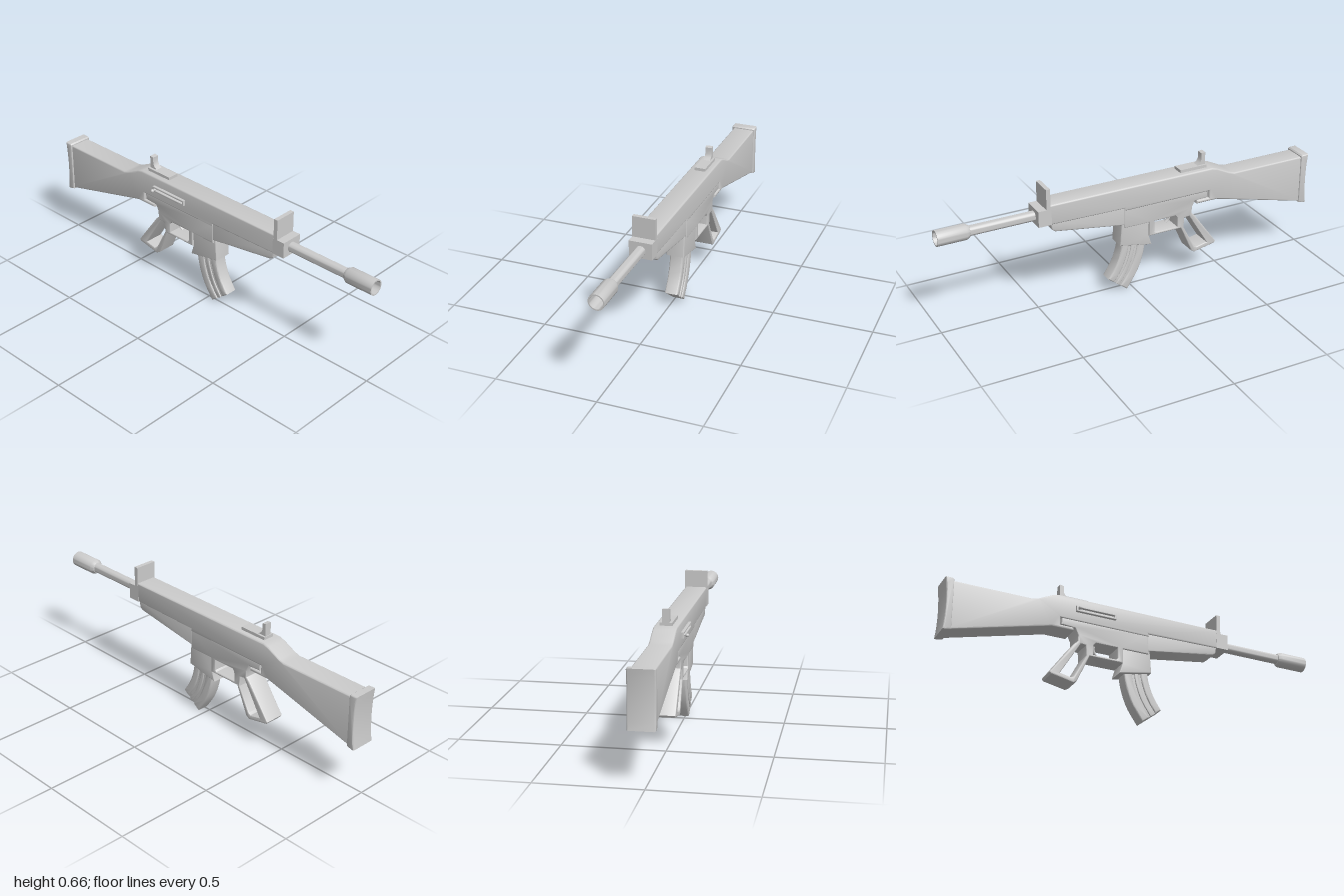
import * as THREE from 'three';
import { toCreasedNormals } from 'three/addons/utils/BufferGeometryUtils.js';

const CZ = -0.014; // centre plane of the rifle
const AXIS_Y = 0.515; // barrel height
const mat = new THREE.MeshStandardMaterial({ color: 0xcccccc });
const thinMat = new THREE.MeshStandardMaterial({ color: 0xcccccc, side: THREE.DoubleSide });

export function createModel() {
  const group = new THREE.Group();

  const add = (name, geo, material = mat) => {
    const mesh = new THREE.Mesh(geo, material);
    mesh.name = name;
    group.add(mesh);
    return mesh;
  };
  const v2 = (pts) => pts.map(([x, y]) => new THREE.Vector2(x, y));

  // Side profile extruded across z, with an inward rounded edge
  const plate = (name, outline, half, bevel = 0.006, holes = [], z = CZ) => {
    const shape = outline instanceof THREE.Shape ? outline : new THREE.Shape(v2(outline));
    holes.forEach((h) => shape.holes.push(new THREE.Path(v2(h))));
    const geo = new THREE.ExtrudeGeometry(shape, {
      depth: 2 * (half - bevel), bevelEnabled: bevel > 0, bevelThickness: bevel,
      bevelSize: bevel, bevelOffset: -bevel, bevelSegments: 3, curveSegments: 8,
    });
    geo.translate(0, 0, z - half + bevel);
    return add(name, toCreasedNormals(geo, 0.6));
  };
  const box = (name, x0, x1, y0, y1, z0, z1) => {
    const geo = new THREE.BoxGeometry(x1 - x0, y1 - y0, z1 - z0);
    geo.translate((x0 + x1) / 2, (y0 + y1) / 2, (z0 + z1) / 2);
    return add(name, geo);
  };

  // Stock and upper receiver in one piece
  plate('stockAndReceiver', [
    [-0.97, 0.27], [-0.46, 0.4], [-0.345, 0.4], [-0.345, 0.418], [-0.415, 0.418], [-0.415, 0.455],
    [0.06, 0.455], [0.06, 0.468], [0.455, 0.475], [0.455, 0.577],
    [-0.43, 0.577], [-0.46, 0.568], [-0.53, 0.534], [-0.56, 0.525], [-0.97, 0.525],
  ], 0.056, 0.008);

  // Butt pad with a slightly hollow end
  const butt = new THREE.Shape();
  butt.moveTo(-0.99, 0.262);
  butt.lineTo(-0.958, 0.27);
  butt.lineTo(-0.958, 0.53);
  butt.lineTo(-0.965, 0.536);
  butt.lineTo(-1, 0.536);
  butt.quadraticCurveTo(-0.982, 0.4, -1, 0.264);
  plate('buttPad', butt, 0.0635, 0.006);

  // Lower receiver, trigger guard and skeleton grip
  plate('lowerReceiver', [
    [-0.408, 0.422], [-0.335, 0.418], [-0.32, 0.385], [-0.32, 0.352], [-0.338, 0.335], [-0.462, 0.163],
    [-0.455, 0.152], [-0.34, 0.129], [-0.322, 0.14], [-0.258, 0.284], [-0.08, 0.284],
    [-0.08, 0.36], [0.06, 0.36], [0.06, 0.465], [-0.408, 0.465],
  ], 0.052, 0.005, [
    [[-0.238, 0.296], [-0.115, 0.296], [-0.108, 0.304], [-0.108, 0.36], [-0.225, 0.36], [-0.238, 0.346]],
    [[-0.41, 0.167], [-0.352, 0.155], [-0.338, 0.163], [-0.274, 0.285], [-0.278, 0.338], [-0.305, 0.34]],
  ]);
  plate('magazineWell', [
    [-0.096, 0.231], [0.078, 0.264], [0.07, 0.38], [0.06, 0.45], [-0.08, 0.45], [-0.08, 0.285],
  ], 0.046, 0.005);
  plate('handguard', [
    [0.055, 0.376], [0.425, 0.432], [0.442, 0.445], [0.45, 0.49], [0.055, 0.49],
  ], 0.051, 0.006);

  // Curved trigger
  const triggerPath = new THREE.CatmullRomCurve3([
    [-0.215, 0.37], [-0.217, 0.345], [-0.212, 0.325], [-0.196, 0.31],
  ].map(([x, y]) => new THREE.Vector3(x, y, 0)));
  const trigger = add('trigger', new THREE.TubeGeometry(triggerPath, 12, 0.006, 8));
  trigger.scale.z = 2;
  trigger.position.z = CZ;

  // Curved magazine: a core with three raised bands, leaving two grooves
  const rear = new THREE.SplineCurve(v2([[-0.068, 0.26], [-0.055, 0.18], [-0.022, 0.09], [0.035, 0.004]]));
  const front = new THREE.SplineCurve(v2([[0.062, 0.275], [0.07, 0.22], [0.095, 0.15], [0.137, 0.083]]));
  const magazineBand = (name, a, b, half, bevel) => {
    const edge = (f) => Array.from({ length: 11 }, (_, i) => {
      const p = rear.getPoint(i / 10).lerp(front.getPoint(i / 10), f);
      return [p.x, p.y];
    });
    plate(name, [...edge(a), ...edge(b).reverse()], half, bevel);
  };
  magazineBand('magazineCore', 0.04, 0.96, 0.028, 0.003);
  [[0, 0.34], [0.44, 0.6], [0.7, 1]].forEach(([a, b], i) =>
    magazineBand('magazineBand' + (i + 1), a, b, 0.0335, i === 1 ? 0.003 : 0.007));

  // Barrel and hollow muzzle, turned about the barrel axis
  const turned = (name, profile) => {
    const geo = toCreasedNormals(new THREE.LatheGeometry(v2(profile), 32), 0.6);
    geo.rotateZ(-Math.PI / 2);
    geo.translate(0, AXIS_Y, CZ);
    add(name, geo, thinMat);
  };
  turned('barrel', [[0.025, 0.48], [0.025, 0.86]]);
  turned('muzzle', [
    [0.024, 0.836], [0.029, 0.838], [0.039, 0.855], [0.039, 1], [0.033, 1], [0.033, 0.88], [0, 0.88],
  ]);

  // Front block and sight
  box('frontBlock', 0.445, 0.512, 0.476, 0.558, CZ - 0.057, CZ + 0.057);
  box('frontSight', 0.449, 0.47, 0.55, 0.662, CZ - 0.057, CZ + 0.057);

  // Rear sight
  box('rearSightBase', -0.41, -0.262, 0.57, 0.592, -0.044, 0.014);
  plate('rearSightBlade', [
    [-0.407, 0.59], [-0.36, 0.59], [-0.378, 0.603], [-0.386, 0.618], [-0.386, 0.652], [-0.407, 0.655],
  ], 0.017, 0, [], -0.016);

  // Bolt slot frame on the left side, with its handle
  plate('boltSlot', [[-0.338, 0.502], [-0.124, 0.502], [-0.124, 0.531], [-0.338, 0.531]], 0.01, 0.002,
    [[[-0.328, 0.511], [-0.134, 0.511], [-0.134, 0.522], [-0.328, 0.522]]], 0.046);
  const stem = new THREE.CylinderGeometry(0.005, 0.005, 0.034, 12);
  stem.rotateX(Math.PI / 2);
  add('boltStem', stem).position.set(-0.325, AXIS_Y, 0.053);
  add('boltKnob', new THREE.SphereGeometry(0.009, 16, 12)).position.set(-0.325, AXIS_Y, 0.07);

  return group;
}
